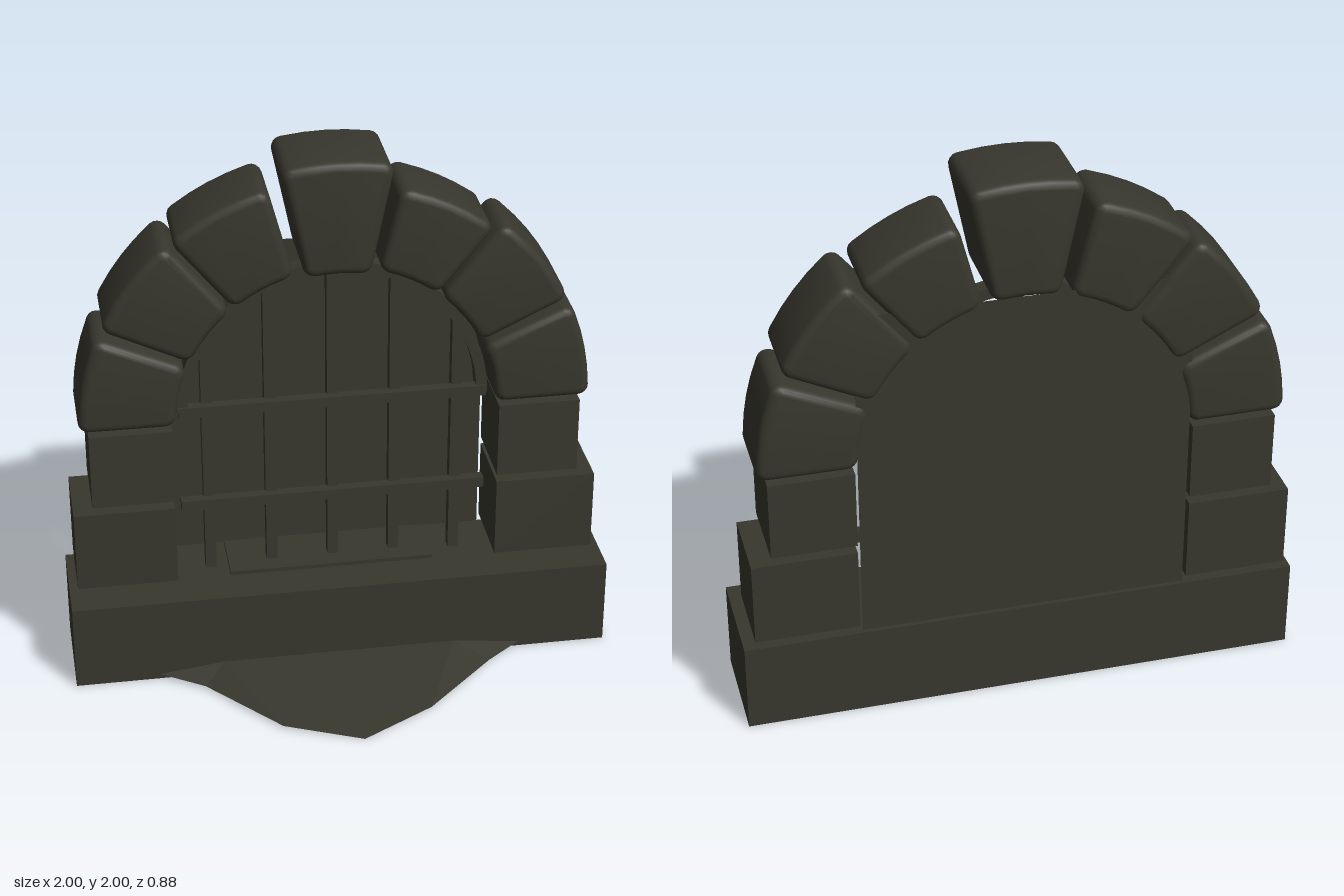
import * as THREE from 'three';
import { toCreasedNormals } from 'three/addons/utils/BufferGeometryUtils.js';

const CX = -0.005; // arch centre
const CY = 1.0;

export function createModel() {
  const model = new THREE.Group();
  model.name = 'archedDrainGate';
  const stone = new THREE.MeshStandardMaterial({ color: 0x38372e });
  stone.name = 'darkStone';
  stone.side = THREE.DoubleSide;

  const add = (name, geometry) => {
    const mesh = new THREE.Mesh(geometry, stone);
    mesh.name = name;
    model.add(mesh);
    return mesh;
  };
  // Box given by its limits on each axis
  const box = (name, x0, x1, y0, y1, z0, z1) =>
    add(name, new THREE.BoxGeometry(x1 - x0, y1 - y0, z1 - z0))
      .position.set((x0 + x1) / 2, (y0 + y1) / 2, (z0 + z1) / 2);

  // Plinth and square side blocks
  box('plinth', -1, 1, 0, 0.33, -0.44, -0.05);
  box('rightLowerBlock', -0.97, -0.6, 0.36, 0.67, -0.44, -0.15);
  box('leftLowerBlock', 0.59, 0.96, 0.36, 0.67, -0.44, -0.15);
  box('rightUpperBlock', -0.9, -0.6, 0.7, 0.99, -0.44, -0.15);
  box('leftUpperBlock', 0.59, 0.89, 0.7, 0.99, -0.44, -0.15);

  // Wedge stone: a rounded rectangle in angle and radius, bent round the arch centre
  const wedge = (name, a0, a1, r0, r1, zBack, zFront) => {
    const bevel = 0.03, corner = 0.04;
    const outline = [];
    const put = (a, r) => outline.push(new THREE.Vector2(CX + r * Math.cos(a), CY + r * Math.sin(a)));
    const corners = [[a1, r1, 0], [a1, r0, 1], [a0, r0, 2], [a0, r1, 3]];
    corners.forEach(([a, r, k]) => {
      const sa = a === a1 ? -1 : 1, sr = r === r1 ? -1 : 1;
      for (let i = 0; i <= 4; i++) {
        const t = (k % 2 ? 4 - i : i) / 4 * Math.PI / 2;
        put(a + sa * corner * (1 - Math.sin(t)) / r, r + sr * corner * (1 - Math.cos(t)));
      }
      if (k % 2 === 0) return;
      // Curved inner and outer edges
      const next = k === 1 ? a0 : a1;
      for (let i = 1; i <= 3; i++) put(a + (next - a) * (0.12 + 0.19 * i), r);
    });
    const geometry = new THREE.ExtrudeGeometry(new THREE.Shape(outline), {
      depth: zFront - zBack - 2 * bevel, bevelEnabled: true, bevelThickness: bevel,
      bevelSize: bevel, bevelOffset: -bevel, bevelSegments: 4,
    });
    geometry.translate(0, 0, zBack + bevel);
    add(name, toCreasedNormals(geometry, 0.7));
  };
  const rad = THREE.MathUtils.degToRad;
  const spans = [[0.2, 23.7], [25.8, 50], [51.2, 75.2]];
  spans.forEach(([a, b], i) => {
    wedge(`leftArchStone${i + 1}`, rad(a), rad(b), 0.58, i === 2 ? 0.9 : 0.93, -0.44, -0.15);
    wedge(`rightArchStone${i + 1}`, rad(180 - b), rad(180 - a), 0.58, 0.93, -0.44, -0.15);
  });
  wedge('keystone', rad(78.5), rad(101.5), 0.58, 1.0, -0.44, -0.11);

  // Back panel
  add('backPanel', new THREE.PlaneGeometry(1.17, 1.25)).position.set(CX, 0.96, -0.43);

  // Grate: arched rim, upright bars and cross bars
  const rim = new THREE.Shape();
  rim.absarc(CX, CY, 0.57, 0, Math.PI, false);
  rim.absarc(CX, CY, 0.53, Math.PI, 0, true);
  const rimGeometry = new THREE.ExtrudeGeometry(rim, { depth: 0.06, bevelEnabled: false, curveSegments: 24 });
  rimGeometry.translate(0, 0, -0.31);
  add('grateRim', toCreasedNormals(rimGeometry, 0.5));
  for (let i = -2; i <= 2; i++) {
    const x = CX + i * 0.23;
    const top = CY + Math.sqrt(0.55 ** 2 - (i * 0.23) ** 2);
    box(`uprightBar${i + 3}`, x - 0.02, x + 0.02, 0.32, top, -0.31, -0.27);
  }
  box('lowerCrossBar', -0.57, 0.56, 0.6, 0.64, -0.28, -0.24);
  box('upperCrossBar', -0.57, 0.56, 0.99, 1.03, -0.28, -0.24);

  // Spill: thin sheet over the plinth, and a fan spreading at its foot
  box('spillSheet', -0.4, 0.36, 0.33, 0.345, -0.42, -0.2);
  const points = [
    -0.69, 0.02, -0.05, -0.53, 0.01, 0.04, -0.28, 0.01, 0.33, 0, 0, 0.44,
    0.27, 0.01, 0.3, 0.54, 0.01, 0.04, 0.67, 0.02, -0.05,
    0.42, 0.05, -0.05, -0.45, 0.05, -0.05, 0.41, 0.12, -0.05, -0.44, 0.12, -0.05,
  ];
  const fan = new THREE.BufferGeometry();
  fan.setAttribute('position', new THREE.Float32BufferAttribute(points, 3));
  fan.setIndex([0, 1, 8, 1, 2, 8, 2, 7, 8, 2, 3, 4, 2, 4, 7, 4, 5, 7, 5, 6, 7, 8, 7, 9, 8, 9, 10]);
  const flatFan = fan.toNonIndexed();
  flatFan.computeVertexNormals();
  add('spillFan', flatFan).position.z = 0.002;

  return model;
}
